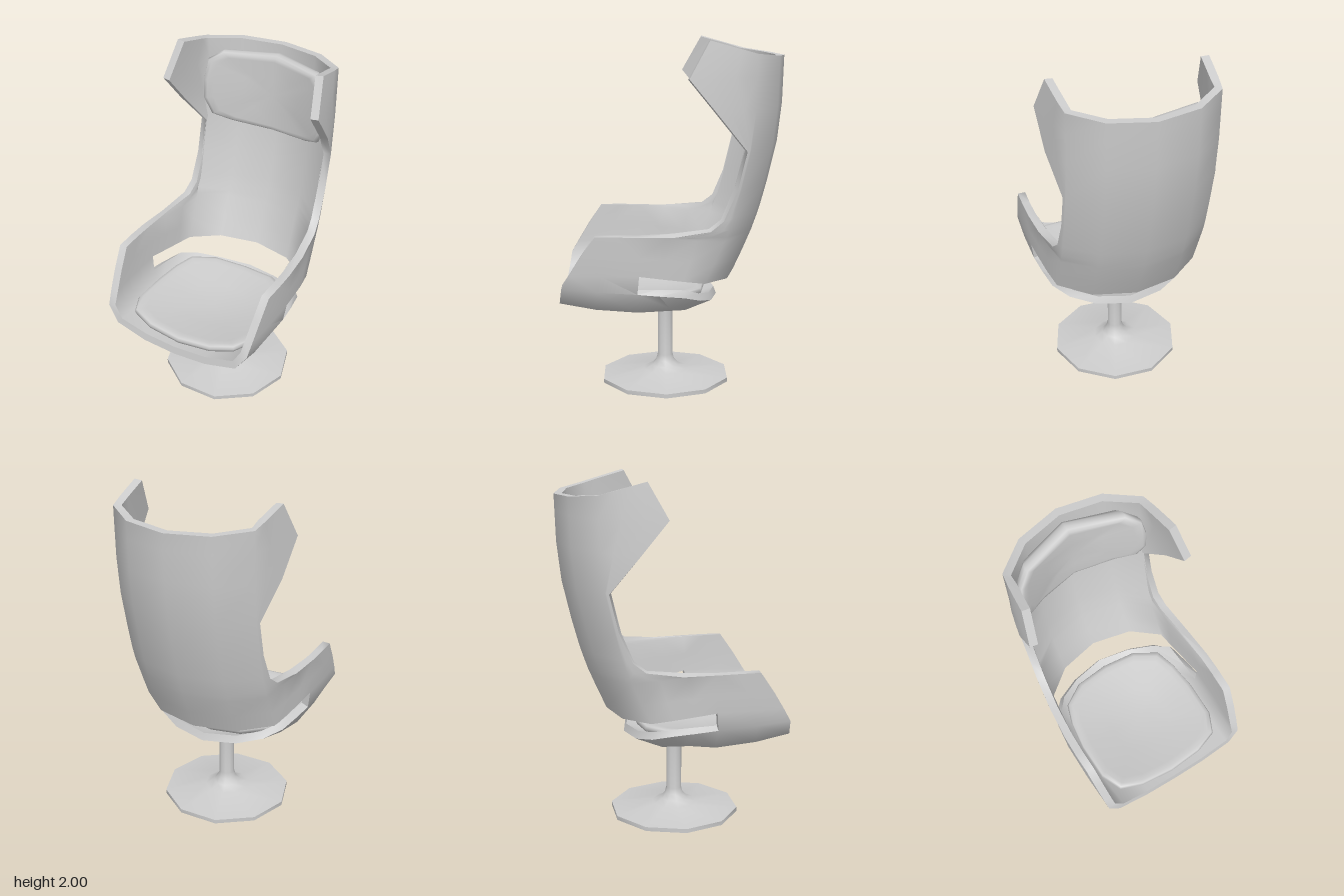
import * as THREE from 'three';
import { mergeVertices, mergeGeometries, toCreasedNormals } from 'three/addons/utils/BufferGeometryUtils.js';

const material = new THREE.MeshStandardMaterial({ color: 0xcccccc });

function makeGeometry(points, index) {
  const g = new THREE.BufferGeometry();
  g.setAttribute('position', new THREE.Float32BufferAttribute(points.flat(), 3));
  g.setIndex(index);
  return g;
}

// Sheet from half rows (centre to left edge), mirrored to full width
function sheet(halfRows) {
  const rows = halfRows.map((h) => [...h.slice(1).reverse().map(([x, y, z]) => [-x, y, z]), ...h]);
  const n = rows[0].length, index = [];
  for (let r = 0; r < rows.length - 1; r++)
    for (let c = 0; c < n - 1; c++) {
      const a = r * n + c, d = a + n;
      index.push(a, d, a + 1, a + 1, d, d + 1);
    }
  return makeGeometry(rows.flat(), index);
}

// Give a surface thickness inwards and close all its open edges
function thicken(surface, t) {
  const g = mergeVertices(surface, 1e-4);
  g.computeVertexNormals();
  const p = g.attributes.position, nm = g.attributes.normal, n = p.count;
  const outer = [], inner = [], tri = Array.from(g.index.array), index = [...tri];
  for (let i = 0; i < n; i++) {
    outer.push([p.getX(i), p.getY(i), p.getZ(i)]);
    inner.push([p.getX(i) - t * nm.getX(i), p.getY(i) - t * nm.getY(i), p.getZ(i) - t * nm.getZ(i)]);
  }
  const edges = new Map();
  for (let k = 0; k < tri.length; k += 3) {
    index.push(tri[k] + n, tri[k + 2] + n, tri[k + 1] + n);
    for (let e = 0; e < 3; e++) {
      const i = tri[k + e], j = tri[k + (e + 1) % 3];
      edges.set(i + '_' + j, [i, j]);
    }
  }
  for (const [i, j] of edges.values())
    if (!edges.has(j + '_' + i)) index.push(j, i, i + n, j, i + n, j + n);
  return toCreasedNormals(makeGeometry([...outer, ...inner], index), 1.0);
}

// Padded cushion: half outline (bottom to top) lofted through rounded rings
function pad(half, height, place) {
  const outline = [...half, ...half.slice(1, -1).reverse().map(([u, v]) => [-u, v])];
  const mid = (half[0][1] + half[half.length - 1][1]) / 2, n = outline.length;
  const rings = [[0, 0], [0.92, 0], [0.98, 0.2], [1, 0.5], [0.98, 0.78], [0.93, 0.96], [0.85, 1.02], [0.45, 1.08], [0, 1.1]];
  const points = [], index = [];
  for (const [s, h] of rings)
    for (const [u, v] of outline) points.push(place(u * s, mid + (v - mid) * s, h * height));
  for (let r = 0; r < rings.length - 1; r++)
    for (let i = 0; i < n; i++) {
      const a = r * n + i, b = r * n + (i + 1) % n;
      if (r > 0) index.push(a, b, a + n);
      if (r < rings.length - 2) index.push(b, b + n, a + n);
      if (r === 0) index.push(a, b + n, a + n);
    }
  // the first ring's second triangle is replaced by the fan above
  const g = mergeVertices(makeGeometry(points, index), 1e-5);
  g.computeVertexNormals();
  return g;
}

// Backrest row: centre height and depth, then the front edge point
function backRow(yc, zc, [xf, yf, zf]) {
  const cx = 0.42, cz = zc + 0.19;
  const row = [[0, yc, zc], [0.25, yc + (yf - yc) * 0.07, zc + 0.055]];
  for (const t of [0, 0.33, 0.67])
    row.push([cx + (xf - cx) * t ** 0.75, yc + (yf - yc) * (0.25 + 0.75 * t), cz + (zf - cz) * t]);
  return [...row, [xf, yf, zf]];
}

export function createModel() {
  const group = new THREE.Group();
  const add = (name, geometry) => {
    const mesh = new THREE.Mesh(geometry, material);
    mesh.name = name;
    group.add(mesh);
    return mesh;
  };

  // Section where the seat, arms and back meet, at the front of the slot
  const joint = [[0, 0.44, 0.2], [0.2, 0.455, 0.2], [0.395, 0.51, 0.2], [0.46, 0.63, 0.2],
    [0.475, 0.735, 0.19], [0.482, 0.84, 0.19], [0.487, 0.955, 0.19]];

  // Front of the seat with the arms
  const front = sheet([
    [[0, 0.5, 0.635], [0.2, 0.515, 0.635], [0.39, 0.565, 0.63], [0.455, 0.66, 0.615],
      [0.465, 0.74, 0.57], [0.475, 0.84, 0.51], [0.485, 0.957, 0.43]],
    [[0, 0.465, 0.44], [0.2, 0.48, 0.44], [0.4, 0.53, 0.43], [0.463, 0.645, 0.42],
      [0.474, 0.738, 0.4], [0.482, 0.84, 0.37], [0.488, 0.957, 0.31]],
    joint,
  ]);

  // Rear of the seat, below the slot
  const rear = sheet([
    joint.slice(0, 4),
    [[0, 0.45, -0.09], [0.2, 0.465, -0.07], [0.37, 0.525, 0.02], [0.445, 0.615, 0.08]],
    [[0, 0.51, -0.26], [0.2, 0.525, -0.22], [0.34, 0.56, -0.15], [0.42, 0.597, -0.06]],
  ]);

  // Backrest with wings, from the slot upwards
  const back = sheet([
    backRow(0.66, -0.36, joint[4]),
    backRow(0.77, -0.41, joint[5]),
    backRow(0.9, -0.465, joint[6]),
    backRow(0.935, -0.477, [0.472, 0.95, 0]),
    backRow(0.98, -0.493, [0.445, 0.975, -0.2]),
    backRow(1.05, -0.515, [0.435, 1.03, -0.27]),
    backRow(1.2, -0.555, [0.43, 1.2, -0.345]),
    backRow(1.42, -0.605, [0.43, 1.41, -0.395]),
    backRow(1.64, -0.63, [0.475, 1.61, -0.235]),
    backRow(1.81, -0.635, [0.485, 1.8, -0.08]),
    backRow(1.905, -0.638, [0.45, 2.0, -0.19]),
  ]);
  add('shell', thicken(mergeGeometries([front, rear, back]), 0.045));

  // Seat cushion, following the bowl of the seat
  const seatOutline = [[0, -0.6], [0.2, -0.585], [0.33, -0.54], [0.385, -0.42], [0.39, -0.2],
    [0.37, -0.04], [0.33, 0.08], [0.2, 0.165], [0, 0.19]];
  add('seatCushion', pad(seatOutline, 0.06,
    (u, v, h) => [u, 0.485 + 0.46 * u * u + 0.35 * (v + 0.2) ** 2 + h, -v]));

  // Headrest cushion, following the curve of the back
  const headOutline = [[0, 1.39], [0.25, 1.42], [0.35, 1.47], [0.39, 1.58], [0.39, 1.7],
    [0.37, 1.82], [0.3, 1.865], [0, 1.87]];
  add('headrest', pad(headOutline, 0.08,
    (u, v, h) => [u, v, -0.58 + 1.1 * u * u + 0.04 * (1.87 - v) + h]));

  // Pedestal: hollow ten-sided foot flowing into the stem
  const profile = [[0, 0.09], [0.04, 0.075], [0.09, 0.04], [0.36, 0.005], [0.37, 0], [0.38, 0], [0.38, 0.024],
    [0.13, 0.053], [0.08, 0.075], [0.055, 0.105], [0.045, 0.14], [0.045, 0.47]];
  const foot = new THREE.LatheGeometry(profile.map(([x, y]) => new THREE.Vector2(x, y)), 10, Math.PI / 2);
  add('pedestal', toCreasedNormals(foot, 0.8)).position.z = 0.04;

  return group;
}
